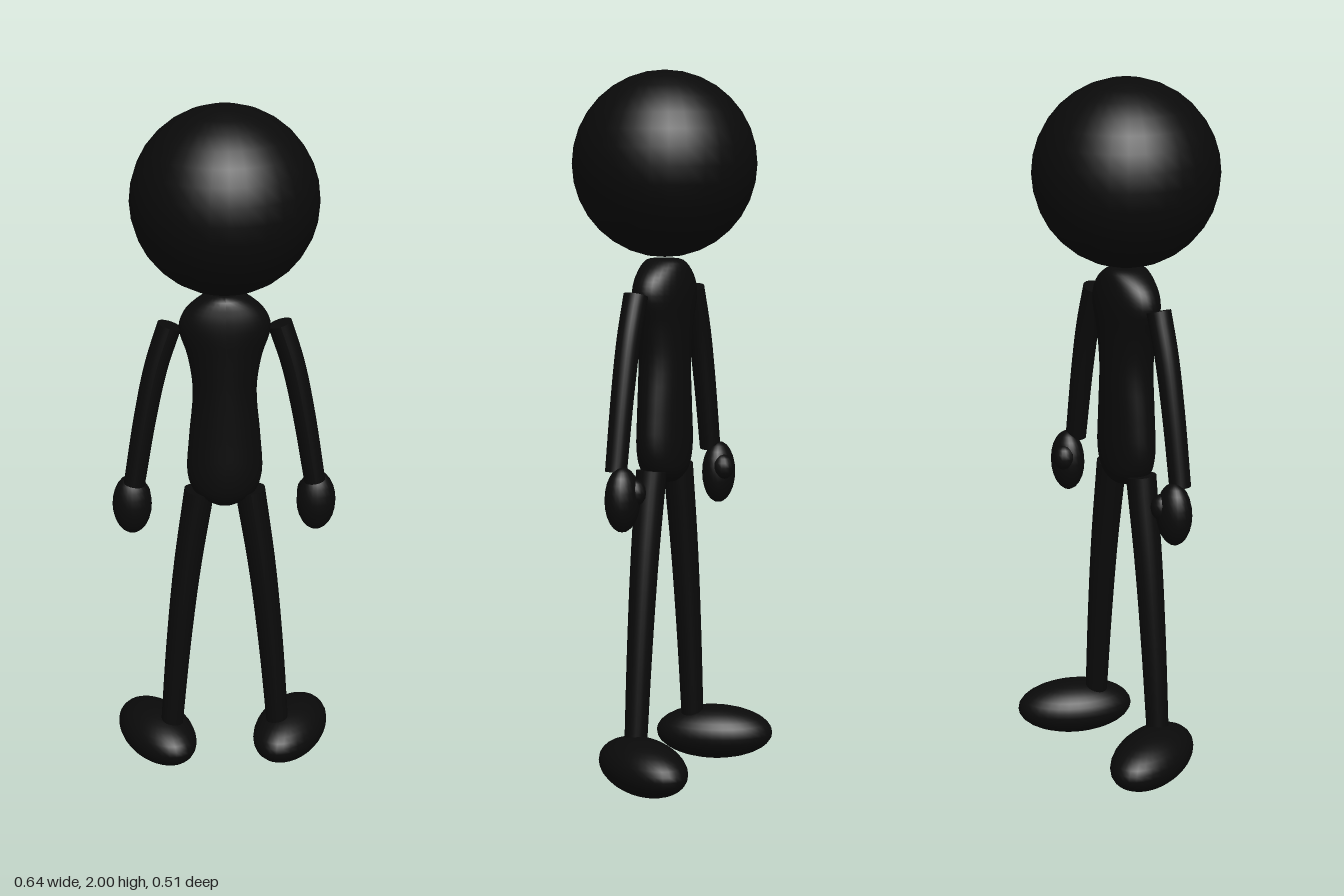
import * as THREE from 'three';

const black = new THREE.MeshStandardMaterial({ color: 0x0a0a0a });
black.name = 'black';

function add(parent, name, geometry) {
  const mesh = new THREE.Mesh(geometry, black);
  mesh.name = name;
  parent.add(mesh);
  return mesh;
}

// Ellipsoid with its own radii
function ellipsoid(parent, name, position, radii, segments = 32) {
  const mesh = add(parent, name, new THREE.SphereGeometry(1, segments, segments / 2));
  mesh.position.set(...position);
  mesh.scale.set(...radii);
  return mesh;
}

// Capped, tapered tube bent along a curve in the xy plane
function limb(parent, name, points, topRadius, bottomRadius) {
  const curve = new THREE.CatmullRomCurve3(points.map(([x, y]) => new THREE.Vector3(x, y, 0)));
  const geometry = new THREE.CylinderGeometry(topRadius, bottomRadius, 1, 24, 14);
  const pos = geometry.attributes.position;
  for (let i = 0; i < pos.count; i++) {
    const t = THREE.MathUtils.clamp(0.5 - pos.getY(i), 0, 1);
    const centre = curve.getPointAt(t);
    const dir = curve.getTangentAt(t);
    const x = pos.getX(i);
    pos.setXY(i, centre.x - dir.y * x, centre.y + dir.x * x);
  }
  geometry.computeVertexNormals();
  return add(parent, name, geometry);
}

// Elliptical torso from rows of half width, height, half depth
function torsoGeometry() {
  const rows = [
    [0.001, 0.853, 0.001], [0.035, 0.857, 0.035], [0.085, 0.89, 0.06], [0.105, 0.945, 0.067],
    [0.1, 1.06, 0.067], [0.089, 1.2, 0.068], [0.103, 1.3, 0.071], [0.127, 1.385, 0.074],
    [0.108, 1.435, 0.069], [0.05, 1.478, 0.052], [0.001, 1.482, 0.001],
  ].map((r) => new THREE.Vector3(...r));
  const profile = new THREE.CatmullRomCurve3(rows).getPoints(40);
  const geometry = new THREE.LatheGeometry(profile.map((p) => new THREE.Vector2(Math.max(p.x, 0.0005), p.y)), 32);
  const pos = geometry.attributes.position;
  for (let i = 0; i < pos.count; i++) {
    const p = profile[i % profile.length];
    pos.setZ(i, pos.getZ(i) * Math.max(p.z, 0.0005) / Math.max(p.x, 0.0005));
  }
  geometry.computeVertexNormals();
  return geometry;
}

export function createModel() {
  const model = new THREE.Group();
  model.name = 'stickFigure';

  ellipsoid(model, 'head', [0, 1.743, 0], [0.257, 0.257, 0.257]);
  add(model, 'torso', torsoGeometry());

  for (const [side, s] of [['left', 1], ['right', -1]]) {
    // Arm, hand and thumb
    limb(model, side + 'Arm', [[s * 0.152, 1.39], [s * 0.19, 1.27], [s * 0.222, 1.12], [s * 0.256, 0.915]], 0.034, 0.03);
    ellipsoid(model, side + 'Hand', [s * 0.263, 0.843, -0.025], [0.056, 0.09, 0.046], 24);
    ellipsoid(model, side + 'Thumb', [s * 0.242, 0.862, -0.05], [0.032, 0.038, 0.033], 16);

    // Leg and outward-turned foot, toes towards the back
    limb(model, side + 'Leg', [[s * 0.072, 0.892], [s * 0.108, 0.65], [s * 0.135, 0.4], [s * 0.158, 0.12]], 0.043, 0.032);
    const foot = ellipsoid(model, side + 'Foot', [s * 0.2, 0.078, -0.05], [0.099, 0.077, 0.171]);
    foot.rotation.y = -s * THREE.MathUtils.degToRad(25);
  }
  return model;
}
